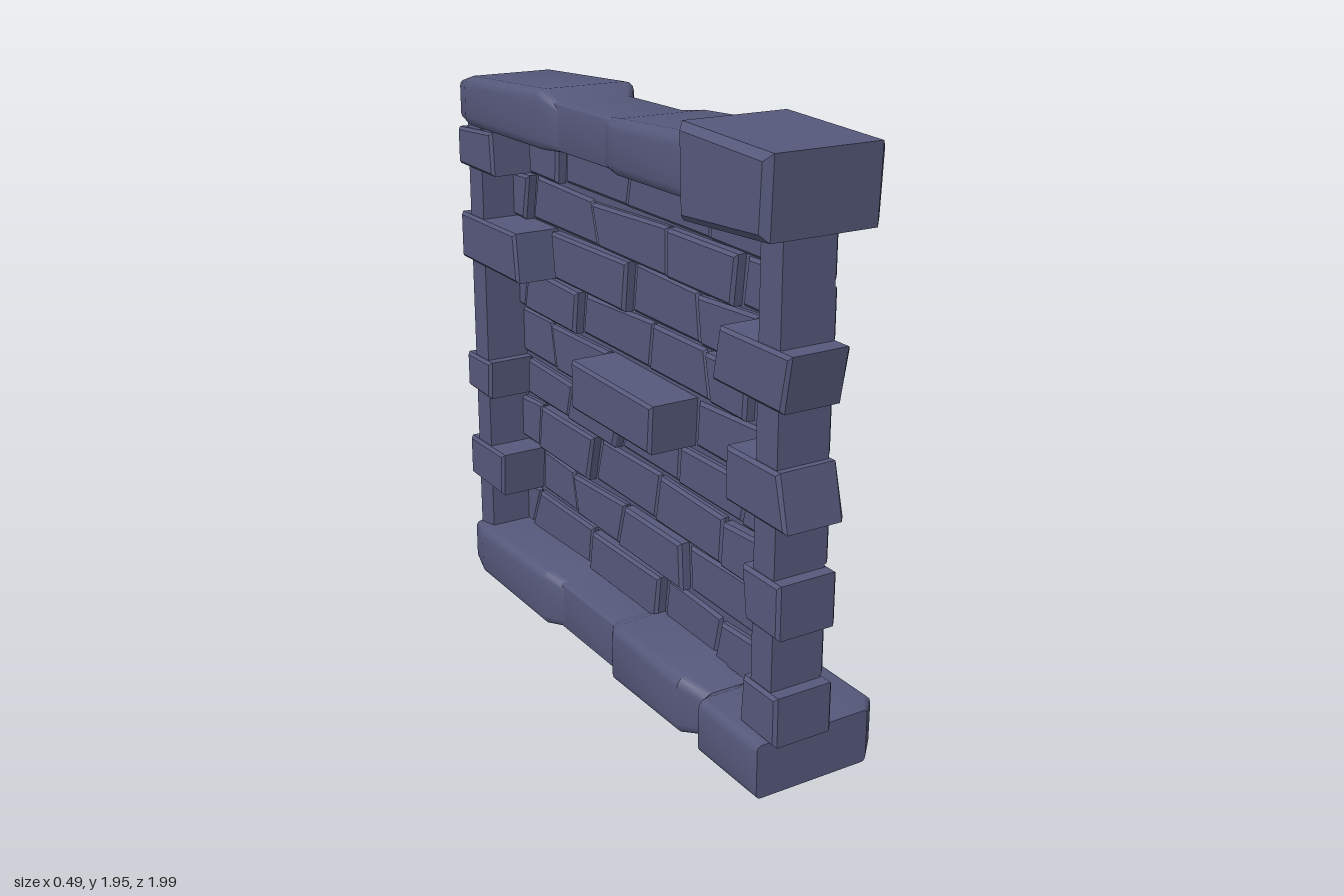
import * as THREE from 'three';
import { toCreasedNormals } from 'three/addons/utils/BufferGeometryUtils.js';

const stone = new THREE.MeshStandardMaterial({ color: 0x55587a });
stone.name = 'slate stone';

// Skin a list of equal-length rings, counter-clockwise seen from the last ring.
// Edges sharper than the crease angle stay hard.
function loft(name, rings, crease) {
  const pos = [];
  const tri = (a, b, c) => pos.push(...a, ...b, ...c);
  const n = rings[0].length;
  for (let k = 0; k < rings.length - 1; k++) {
    for (let i = 0; i < n; i++) {
      const j = (i + 1) % n, p = rings[k], q = rings[k + 1];
      tri(p[i], p[j], q[j]);
      tri(p[i], q[j], q[i]);
    }
  }
  const first = rings[0], last = rings[rings.length - 1];
  for (let i = 1; i < n - 1; i++) {
    tri(first[0], first[i + 1], first[i]);
    tri(last[0], last[i], last[i + 1]);
  }
  const geo = new THREE.BufferGeometry();
  geo.setAttribute('position', new THREE.Float32BufferAttribute(pos, 3));
  const mesh = new THREE.Mesh(toCreasedNormals(geo, crease), stone);
  mesh.name = name;
  return mesh;
}

// Bevelled brick running through the wall along x; corners are [z, y] from low +z round to high +z.
function brick(name, corners, x0, x1, bevel = 0.01) {
  const sz = [-1, 1, 1, -1], sy = [1, 1, -1, -1];
  const ring = (x, d) => corners.map(([z, y], i) => [x, y + sy[i] * d, z + sz[i] * d]);
  return loft(name, [ring(x0, bevel), ring(x0 + bevel, 0), ring(x1 - bevel, 0), ring(x1, bevel)], 0.1);
}

// Long round-edged stone along z; each section is [z, x0, x1, y0, y1, edge radius].
function longStone(name, sections) {
  return loft(name, sections.map(([z, x0, x1, y0, y1, r]) => {
    const ring = [];
    [[x1 - r, y0 + r], [x1 - r, y1 - r], [x0 + r, y1 - r], [x0 + r, y0 + r]].forEach(([cx, cy], corner) => {
      for (let s = 0; s < 4; s++) {
        const a = (corner - 1 + s / 3) * Math.PI / 2;
        ring.push([cx + r * Math.cos(a), cy + r * Math.sin(a), z]);
      }
    });
    return ring;
  }), 0.6);
}

function box(name, x0, x1, y0, y1, z0, z1) {
  const mesh = new THREE.Mesh(new THREE.BoxGeometry(x1 - x0, y1 - y0, z1 - z0), stone);
  mesh.position.set((x0 + x1) / 2, (y0 + y1) / 2, (z0 + z1) / 2);
  mesh.name = name;
  return mesh;
}

// Courses from the top: bottom, top, joint positions in z, lean of each joint.
const courses = [
  [1.56, 1.71, [0.94, 0.70, 0.41, -0.07, -0.50, -0.72, -0.99], [0, 0.02, 0, 0.03, 0.01, -0.01, 0]],
  [1.39, 1.55, [0.94, 0.83, 0.55, 0.17, -0.29, -0.73, -0.93], [0, 0.02, 0.02, 0, -0.04, 0.03, 0]],
  [1.22, 1.39, [0.985, 0.64, 0.33, -0.06, -0.56, -0.99], [0.03, 0.03, -0.02, 0.02, -0.02, 0]],
  [1.06, 1.22, [0.94, 0.62, 0.40, 0.06, -0.39, -0.76, -0.93], [0, 0.01, -0.03, 0.02, 0.02, 0.03, 0]],
  [0.88, 1.05, [0.98, 0.70, 0.31, -0.20, -0.59, -0.93], [-0.04, 0, 0.01, 0, -0.03, 0]],
  [0.73, 0.87, [0.94, 0.61, 0.23, -0.12, -0.46, -0.79, -0.98], [0, 0.03, 0.01, 0.04, 0.03, 0.01, 0]],
  [0.55, 0.72, [0.98, 0.80, 0.49, 0.10, -0.30, -0.68, -0.93], [0, -0.02, 0.01, 0.03, 0.04, 0.02, 0]],
  [0.38, 0.54, [0.94, 0.66, 0.28, -0.11, -0.45, -0.71, -0.98], [0, 0.01, -0.01, 0.04, -0.03, 0.01, 0]],
  [0.21, 0.37, [0.98, 0.80, 0.46, 0.14, -0.32, -0.75, -0.93], [0, 0.01, 0.03, 0.02, 0.02, 0.06, 0]],
];

export function createModel() {
  const wall = new THREE.Group();
  wall.name = 'stoneWall';

  // Thin recessed core between full-depth end piers
  wall.add(box('core', -0.012, 0, 0.15, 1.72, -0.92, 0.93));
  wall.add(box('nearPier', -0.17, 0.005, 0.15, 1.74, 0.84, 0.94));
  wall.add(box('farPier', -0.17, 0.005, 0.15, 1.74, -0.93, -0.83));

  // Brick courses: end quoins and one middle brick reach through to the back
  const bricks = new THREE.Group();
  bricks.name = 'bricks';
  courses.forEach(([y0, y1, joints, lean], row) => {
    for (let i = 0; i < joints.length - 1; i++) {
      const last = i === joints.length - 2;
      const a = joints[i] - (i ? 0.008 : 0), b = joints[i + 1] + (last ? 0 : 0.008);
      const la = lean[i] / 2, lb = lean[i + 1] / 2;
      const quoin = Math.abs(joints[i]) > 0.96 || Math.abs(joints[i + 1]) > 0.96;
      const middle = row === 4 && i === 2;
      const sag = 0.005 * ((row * 2 + i * 3) % 4);
      const corners = [[a - la, y0], [b - lb, y0 + 0.004], [b + lb, y1 - (i % 2 ? sag : 0)], [a + la, y1 - (i % 2 ? 0 : sag)]];
      const back = quoin || middle ? -0.183 : -0.022 - 0.014 * ((row + i * 2) % 3);
      const front = middle ? 0.048 : quoin ? 0.022 : 0.016 + 0.003 * ((row + i) % 3);
      bricks.add(brick(middle ? 'throughBrick' : quoin ? 'quoin' : 'brick', corners, back, front));
    }
  });
  wall.add(bricks);

  // Coping stones along the top
  wall.add(longStone('copingFar', [
    [-0.94, -0.19, 0.07, 1.73, 1.865, 0.02],
    [-0.84, -0.22, 0.14, 1.72, 1.89, 0.035],
    [-0.32, -0.22, 0.14, 1.72, 1.915, 0.035],
    [-0.23, -0.19, 0.08, 1.725, 1.87, 0.02],
  ]));
  wall.add(longStone('copingLink', [
    [-0.26, -0.19, 0.08, 1.73, 1.88, 0.005],
    [0.09, -0.19, 0.08, 1.73, 1.88, 0.005],
  ]));
  wall.add(longStone('copingMiddle', [
    [0.06, -0.19, 0.08, 1.725, 1.88, 0.02],
    [0.15, -0.22, 0.14, 1.72, 1.89, 0.035],
    [0.56, -0.22, 0.14, 1.72, 1.91, 0.035],
  ]));
  wall.add(brick('copingEnd', [[0.955, 1.69], [0.545, 1.67], [0.535, 1.945], [0.965, 1.925]], -0.245, 0.15, 0.022));

  // Footing stones
  wall.add(longStone('footingFar', [
    [-0.94, -0.19, 0.16, 0.045, 0.2, 0.02],
    [-0.83, -0.22, 0.24, 0.03, 0.22, 0.035],
    [-0.35, -0.22, 0.24, 0.03, 0.235, 0.035],
    [-0.27, -0.18, 0.16, 0.04, 0.21, 0.03],
  ]));
  wall.add(longStone('footingLink', [
    [-0.32, -0.18, 0.15, 0.04, 0.21, 0.01],
    [0.12, -0.18, 0.15, 0.04, 0.21, 0.01],
  ]));
  wall.add(brick('footingKey', [[0.09, 0], [-0.30, 0.01], [-0.305, 0.26], [0.075, 0.235]], -0.02, 0.208, 0.022));
  wall.add(longStone('footingMiddle', [
    [0.06, -0.18, 0.16, 0.04, 0.21, 0.03],
    [0.13, -0.22, 0.24, 0.03, 0.235, 0.035],
    [0.52, -0.22, 0.24, 0.035, 0.23, 0.035],
    [0.61, -0.16, 0.15, 0.05, 0.19, 0.03],
  ]));
  wall.add(longStone('footingNear', [
    [0.59, -0.16, 0.15, 0.05, 0.19, 0.03],
    [0.65, -0.225, 0.24, 0.035, 0.22, 0.03],
    [0.89, -0.225, 0.24, 0.035, 0.22, 0.03],
    [0.95, -0.22, 0.18, 0.04, 0.215, 0.015],
  ]));
  return wall;
}
